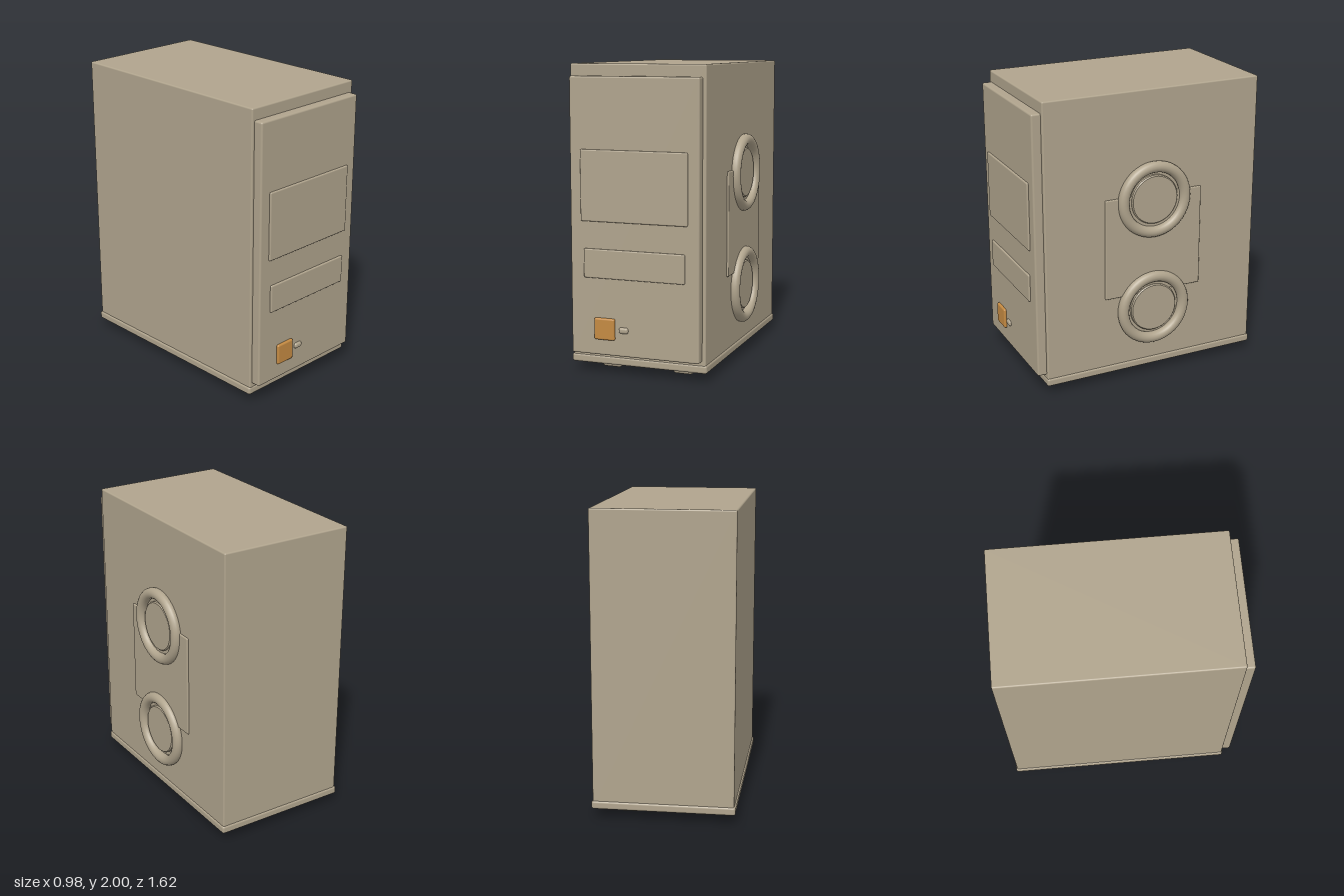
import * as THREE from 'three';
import { RoundedBoxGeometry } from 'three/addons/geometries/RoundedBoxGeometry.js';

export function createModel() {
  const group = new THREE.Group();
  const beige = new THREE.MeshStandardMaterial({ color: 0xb0a48d });
  beige.name = 'beige plastic';
  const orange = new THREE.MeshStandardMaterial({ color: 0xc48a42 });
  orange.name = 'orange button';

  const add = (name, geometry, material = beige) => {
    const mesh = new THREE.Mesh(geometry, material);
    mesh.name = name;
    group.add(mesh);
    return mesh;
  };

  // Rounded box given by its extents along each axis
  const box = (name, [x0, x1], [y0, y1], [z0, z1], radius, material) => {
    const mesh = add(name, new RoundedBoxGeometry(x1 - x0, y1 - y0, z1 - z0, 3, radius), material);
    mesh.position.set((x0 + x1) / 2, (y0 + y1) / 2, (z0 + z1) / 2);
    return mesh;
  };

  // Case, plinth and front panel
  box('case', [-0.48, 0.435], [0.08, 2], [-0.8, 0.733], 0.01);
  box('plinth', [-0.489, 0.443], [0.06, 0.115], [-0.808, 0.738], 0.015);
  box('frontPanel', [-0.461, 0.412], [0.137, 1.923], [0.7, 0.795], 0.012);

  // Raised details on the front panel
  box('upperDriveCover', [-0.386, 0.337], [1.005, 1.463], [0.77, 0.807], 0.009);
  box('lowerDriveCover', [-0.367, 0.318], [0.64, 0.829], [0.77, 0.807], 0.009);
  box('powerButton', [-0.298, -0.156], [0.24, 0.382], [0.77, 0.812], 0.012, orange);
  box('indicator', [-0.13, -0.065], [0.29, 0.33], [0.77, 0.81], 0.016);

  // Side plate behind the two vents
  box('sidePlate', [0.41, 0.447], [0.605, 1.3], [-0.385, 0.315], 0.008);

  // Round side vents: a ring around a low hub
  const hubProfile = [[0, 0.41], [0.167, 0.41], [0.167, 0.452], [0.16, 0.46], [0, 0.46]]
    .map(([r, h]) => new THREE.Vector2(r, h));
  for (const [name, y] of [['upper', 1.261], ['lower', 0.491]]) {
    const ring = add(name + 'VentRing', new THREE.TorusGeometry(0.2235, 0.0375, 16, 48));
    ring.rotation.y = Math.PI / 2;
    ring.position.set(0.449, y, -0.036);

    const rim = new THREE.LatheGeometry(hubProfile, 48).toNonIndexed();
    rim.computeVertexNormals();
    const hub = add(name + 'VentHub', rim);
    hub.rotation.z = -Math.PI / 2;
    hub.position.set(0, y, -0.036);
  }

  // Four feet
  for (const x of [-0.273, 0.227])
    for (const z of [0.523, -0.594])
      box('foot', [x - 0.068, x + 0.068], [0, 0.062], [z - 0.068, z + 0.068], 0.02);

  return group;
}
